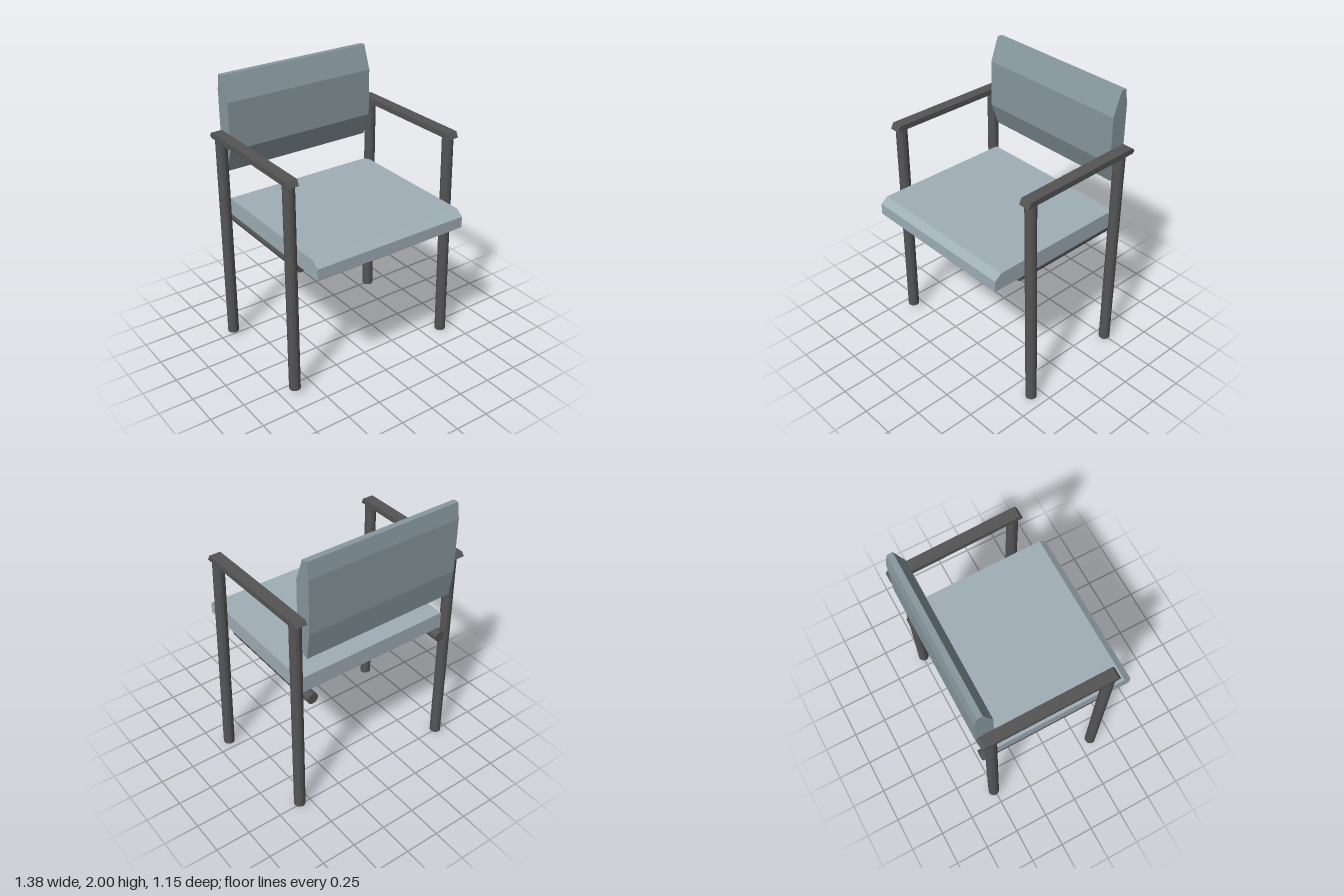
import * as THREE from 'three';

const cushion = new THREE.MeshStandardMaterial({ color: 0xa0afb7 });
const backing = new THREE.MeshStandardMaterial({ color: 0x88999f });
const frame = new THREE.MeshStandardMaterial({ color: 0x555555, flatShading: true });

// Side profile of [z, y] points, extruded from x0 to x1
function slab(name, points, x0, x1, material) {
  const shape = new THREE.Shape(points.map(([z, y]) => new THREE.Vector2(z, y)));
  const geometry = new THREE.ExtrudeGeometry(shape, { depth: x1 - x0, bevelEnabled: false });
  geometry.rotateY(-Math.PI / 2).translate(x1, 0, 0);
  const mesh = new THREE.Mesh(geometry, material);
  mesh.name = name;
  return mesh;
}

// Round bar between two points
function bar(name, from, to, radius = 0.04) {
  const a = new THREE.Vector3(...from);
  const b = new THREE.Vector3(...to);
  const dir = b.clone().sub(a);
  const mesh = new THREE.Mesh(new THREE.CylinderGeometry(radius, radius, dir.length(), 12), frame);
  mesh.position.copy(a).add(b).multiplyScalar(0.5);
  mesh.quaternion.setFromUnitVectors(new THREE.Vector3(0, 1, 0), dir.normalize());
  mesh.name = name;
  return mesh;
}

export function createModel() {
  const chair = new THREE.Group();
  chair.name = 'armchair';

  // Seat with a bevelled front edge
  chair.add(slab('seat', [
    [-0.5, 1.0], [0.575, 1.0], [0.575, 1.08], [0.525, 1.12], [-0.5, 1.12],
  ], -0.61, 0.56, cushion));

  // Backrest, tapered to the top and bottom
  chair.add(slab('backrest', [
    [-0.55, 1.305], [-0.515, 1.32], [-0.453, 1.49], [-0.453, 1.83],
    [-0.515, 2.0], [-0.555, 2.0], [-0.575, 1.89], [-0.575, 1.5],
  ], -0.61, 0.54, backing));

  // Legs; the left front one leans outwards
  chair.add(
    bar('rightFrontLeg', [-0.65, 0.04, 0.333], [-0.65, 1.58, 0.333]),
    bar('rightBackLeg', [-0.65, 0.03, -0.51], [-0.65, 1.58, -0.5]),
    bar('leftFrontLeg', [0.647, 0.002, 0.327], [0.61, 1.58, 0.333]),
    bar('leftBackLeg', [0.58, 0.01, -0.492], [0.583, 1.58, -0.492]),
  );

  // Rails under the seat
  for (const [name, x] of [['rightSeatRail', -0.57], ['leftSeatRail', 0.5]]) {
    chair.add(bar(name, [x, 0.965, -0.55], [x, 0.965, 0.33]));
  }

  // Armrests with sloping ends; the left one is skewed outwards to the front
  const armProfile = [
    [-0.56, 1.57], [0.39, 1.57], [0.37, 1.61], [-0.555, 1.61], [-0.577, 1.585],
  ];
  chair.add(slab('rightArmrest', armProfile, -0.69, -0.61, frame));
  const leftArm = slab('leftArmrest', armProfile, 0.56, 0.642, frame);
  const skew = new THREE.Matrix4().set(
    1, 0, 0.018, 0.002,
    0, 1, 0, 0,
    0, 0, 1, 0,
    0, 0, 0, 1,
  );
  leftArm.geometry.applyMatrix4(skew);
  chair.add(leftArm);

  return chair;
}
